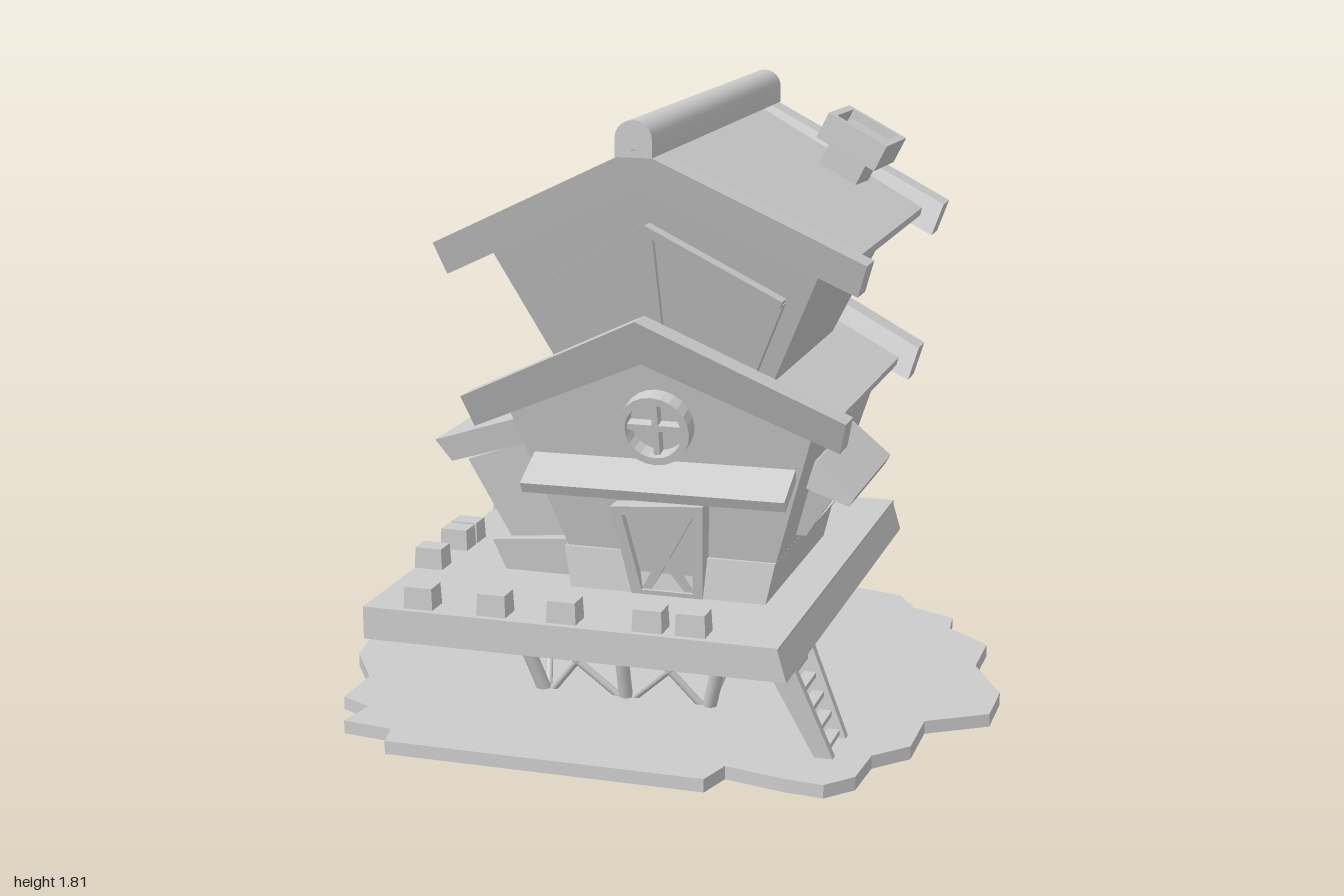
import * as THREE from 'three';
import { toCreasedNormals } from 'three/addons/utils/BufferGeometryUtils.js';

const flat = new THREE.MeshStandardMaterial({ color: 0xcccccc, flatShading: true });
const smooth = new THREE.MeshStandardMaterial({ color: 0xcccccc });
const CX = 0.088; // the house is symmetric about this x

const mirrorX = (pts) => pts.map(([x, y]) => [2 * CX - x, y]).reverse();
const line = (y0, z0, slope) => (y) => z0 + slope * (y - y0);
const shift = (f, d) => (y) => f(y) + d;

function makeShape(pts, holes = []) {
  const s = new THREE.Shape(pts.map(([x, y]) => new THREE.Vector2(x, y)));
  for (const h of holes) s.holes.push(new THREE.Path(h.map(([x, y]) => new THREE.Vector2(x, y))));
  return s;
}

export function createModel() {
  const model = new THREE.Group();

  function add(name, geo, parent = model, mat = flat) {
    const m = new THREE.Mesh(geo, mat);
    m.name = name;
    parent.add(m);
    return m;
  }
  // outline in x/y whose front and back faces lean: z is a function of y
  function slanted(name, pts, front, back, holes) {
    const g = new THREE.ExtrudeGeometry(makeShape(pts, holes), { depth: 1, bevelEnabled: false });
    const p = g.attributes.position;
    for (let i = 0; i < p.count; i++) p.setZ(i, (p.getZ(i) > 0.5 ? front : back)(p.getY(i)));
    g.computeVertexNormals();
    return add(name, g);
  }
  function box(name, w, h, d, x, y, z, parent) {
    const m = add(name, new THREE.BoxGeometry(w, h, d), parent);
    m.position.set(x, y, z);
    return m;
  }
  function rod(name, a, b, r) {
    const A = new THREE.Vector3(...a), B = new THREE.Vector3(...b);
    const m = add(name, new THREE.CylinderGeometry(r, r, A.distanceTo(B), 12), model, smooth);
    m.position.copy(A).lerp(B, 0.5);
    m.quaternion.setFromUnitVectors(new THREE.Vector3(0, 1, 0), B.sub(A).normalize());
  }
  // flat outline in x/z, extruded upwards from y
  function plate(name, pts, y, h, holes = []) {
    const flip = (a) => a.map(([x, z]) => [x, -z]);
    const g = new THREE.ExtrudeGeometry(makeShape(flip(pts), holes.map(flip)), { depth: h, bevelEnabled: false });
    add(name, g.rotateX(-Math.PI / 2)).position.y = y;
  }

  // Ground
  plate('ground', [
    [-0.8, -0.76], [-0.59, -0.72], [-0.48, -0.79], [-0.31, -0.86], [-0.13, -0.73], [0, -0.87], [0.38, -0.87],
    [0.53, -0.83], [0.6, -0.72], [0.74, -0.65], [0.75, -0.55], [0.89, -0.43], [0.89, -0.23], [1, -0.02],
    [1, 0.16], [0.83, 0.27], [0.83, 0.47], [0.74, 0.57], [0.73, 0.73], [0.66, 0.81], [0.55, 0.8],
    [0.37, 0.76], [0.34, 0.865], [-0.6, 0.865], [-0.62, 0.775], [-0.775, 0.755], [-0.755, 0.63], [-0.855, 0.58],
    [-0.855, 0.4], [-0.97, 0.22], [-1, 0.04], [-0.89, -0.155], [-0.92, -0.33], [-0.785, -0.51], [-0.825, -0.68],
  ], 0.006, 0.039);

  // Stilts splay outwards, with crossed braces along each side
  const ring = [[-1, -1], [0, -1], [1, -1], [1, 0], [1, 1], [0, 1], [-1, 1], [-1, 0]];
  const foot = ([i, j], y) => [-0.058 + 0.248 * i, y, 0.032 + 0.286 * j];
  const head = ([i, j]) => [-0.058 + 0.338 * i, 0.33, 0.032 + 0.378 * j];
  ring.forEach((c, k) => {
    const n = ring[(k + 1) % 8];
    rod('stilt', foot(c, 0.006), head(c), 0.021);
    rod('brace', foot(c, 0.02), head(n), 0.011);
    rod('brace', foot(n, 0.02), head(c), 0.011);
  });

  // Deck: floor with a raised rim, right side sloping out
  slanted('deckFloor', [[-0.695, 0.31], [0.545, 0.31], [0.52, 0.396], [-0.695, 0.396]], () => 0.775, () => -0.725);
  plate('deckRim', [[-0.695, -0.725], [0.52, -0.725], [0.52, 0.775], [-0.695, 0.775]], 0.392, 0.014,
    [[[-0.595, -0.63], [0.503, -0.63], [0.503, 0.67], [-0.595, 0.67]]]);
  const posts = [[-0.535, 0.718], [-0.315, 0.718], [-0.107, 0.718], [0.143, 0.718], [0.267, 0.718],
    [-0.652, -0.28], [-0.652, 0.08], [-0.652, 0.163], [-0.652, 0.363]];
  for (const [x, z] of posts) {
    const stub = new THREE.CylinderGeometry(0.048, 0.052, 0.07, 4, 1, false, Math.PI / 4);
    add('railStub', stub.scale(1.2, 1, 1)).position.set(x, 0.434, z);
  }

  // Ladder
  for (const s of [-1, 1]) {
    const c = line(0.045, 0.535 + s * 0.08, s * 0.09);
    slanted('ladderRail', [[0.612, 0.003], [0.66, 0.003], [0.525, 0.33], [0.44, 0.33]], shift(c, 0.014), shift(c, -0.014));
  }
  for (let i = 0; i < 5; i++) {
    const y = 0.062 + i * 0.053;
    box('ladderRung', 0.035, 0.016, 0.18 + i * 0.008, 0.615 - (y - 0.045) * 0.47, y, 0.535);
  }

  // Plinth and lower storey
  slanted('plinth', [[-0.2, 0.39], [0.385, 0.39], [0.41, 0.515], [-0.225, 0.515]],
    line(0.515, 0.387, -0.12), line(0.405, -0.31, -0.33));
  const lowFront = line(0.515, 0.375, 0.22);
  slanted('lowerWalls', [[-0.212, 0.5], [0.405, 0.5], [0.538, 0.94], [CX, 1.16], [-0.362, 0.94]],
    lowFront, line(0.515, -0.315, -0.22));

  // Upper storey
  const upFront = line(1.045, 0.39, 0.33);
  slanted('upperWalls', [[-0.205, 1.0], [0.378, 1.0], [0.573, 1.42], [CX, 1.66], [-0.397, 1.42]],
    upFront, line(1.045, -0.33, -0.31));

  // Gable roofs: thin slab between two thick leaning gable boards
  const chevron = (h, apex, eave, h2, apex2, eave2) => [[CX - h, eave], [CX - h2, eave2], [CX, apex2],
    [CX + h2, eave2], [CX + h, eave], [CX, apex]];
  function roof(name, board, slab, front, back) {
    slanted(name + 'FrontBoard', board, front, shift(front, -0.09));
    slanted(name + 'BackBoard', board, shift(back, 0.09), back);
    slanted(name + 'Slab', slab, shift(front, -0.04), shift(back, 0.04));
  }
  roof('lowerRoof', chevron(0.56, 1.26, 0.985, 0.535, 1.13, 0.89), chevron(0.5, 1.197, 0.955, 0.495, 1.165, 0.932),
    line(1.26, 0.685, 0.455), line(1.26, -0.62, -0.34));
  roof('upperRoof', chevron(0.618, 1.728, 1.43, 0.588, 1.62, 1.338), chevron(0.552, 1.705, 1.418, 0.548, 1.672, 1.395),
    line(1.72, 0.685, 0.31), line(1.72, -0.665, -0.32));

  // Rounded ridge beam
  const arc = [[CX + 0.052, 1.705]];
  for (let i = 0; i <= 12; i++) {
    const a = (i / 12) * Math.PI;
    arc.push([CX + 0.052 * Math.cos(a), 1.755 + 0.05 * Math.sin(a)]);
  }
  arc.push([CX - 0.052, 1.705]);
  const ridge = slanted('ridgeBeam', arc, () => 0.686, () => -0.665);
  ridge.geometry = toCreasedNormals(ridge.geometry, 0.6);
  ridge.material = smooth;

  // Chimney, square to the roof slope, with an open cap
  const chimney = new THREE.Group();
  chimney.name = 'chimney';
  chimney.position.set(0.471, 1.64, -0.367);
  chimney.rotation.set(0, -0.08, -0.47);
  model.add(chimney);
  box('chimneyStack', 0.13, 0.2, 0.138, 0, -0.08, 0, chimney);
  const sq = (r) => [[-r, -r], [r, -r], [r, r], [-r, r]];
  const cap = new THREE.ExtrudeGeometry(makeShape(sq(0.102), [sq(0.08)]), { depth: 0.085, bevelEnabled: false });
  add('chimneyCap', cap.rotateX(-Math.PI / 2), chimney).position.y = -0.042;
  box('chimneyCapFloor', 0.17, 0.02, 0.17, 0, -0.031, 0, chimney);

  // Row of three gable windows in one raised frame under a small hood
  const sidePane = [[-0.25, 1.29], [-0.115, 1.37], [-0.09, 1.1], [-0.165, 1.1]];
  const midPane = [[-0.08, 1.388], [CX, 1.472], [2 * CX + 0.08, 1.388], [2 * CX + 0.058, 1.1], [-0.058, 1.1]];
  slanted('gableWindowFrame', [[-0.28, 1.293], [CX, 1.5], [2 * CX + 0.28, 1.293], [2 * CX + 0.18, 1.07], [-0.18, 1.07]],
    shift(upFront, 0.032), shift(upFront, -0.02), [sidePane, midPane, mirrorX(sidePane)]);
  slanted('gableWindowHood', chevron(0.37, 1.508, 1.305, 0.362, 1.476, 1.285),
    shift(upFront, 0.05), shift(upFront, -0.02));
  slanted('gableMullion', [[CX - 0.008, 1.1], [CX + 0.008, 1.1], [CX + 0.008, 1.48], [CX - 0.008, 1.48]],
    shift(upFront, 0.02), shift(upFront, -0.02));

  // Round window with cross bars
  const porthole = new THREE.Group();
  porthole.name = 'roundWindow';
  porthole.position.set(CX, 0.925, lowFront(0.925));
  porthole.rotation.x = 0.217;
  model.add(porthole);
  const disc = new THREE.Shape().absarc(0, 0, 0.105, 0, Math.PI * 2);
  disc.holes.push(new THREE.Path().absarc(0, 0, 0.083, 0, Math.PI * 2));
  const discGeo = new THREE.ExtrudeGeometry(disc, { depth: 0.075, bevelEnabled: false, curveSegments: 12 });
  add('roundWindowFrame', discGeo, porthole).position.z = -0.02;
  box('roundWindowBar', 0.17, 0.018, 0.04, 0, 0, 0.015, porthole);
  box('roundWindowBar', 0.018, 0.17, 0.04, 0, 0, 0.015, porthole);

  // Board canopy above the door
  const canopy = box('doorCanopy', 0.775, 0.034, 0.155, 0.093, 0.768, 0.487);
  canopy.rotation.set(0.46, 0, 0.01);

  // Door with frame and crossed planks
  const doorFront = line(0.405, 0.41, 0.25);
  slanted('doorFrame', [[-0.012, 0.39], [0.2, 0.39], [0.222, 0.695], [-0.055, 0.672]], doorFront, shift(doorFront, -0.08),
    [[[0.018, 0.41], [0.172, 0.41], [0.192, 0.665], [-0.022, 0.648]]]);
  slanted('doorPanel', [[0, 0.4], [0.19, 0.4], [0.205, 0.68], [-0.04, 0.66]], shift(doorFront, -0.03), shift(doorFront, -0.08));
  for (const plank of [[[0.015, 0.41], [0.045, 0.41], [0.19, 0.66], [0.16, 0.66]],
    [[0.145, 0.41], [0.175, 0.41], [0.01, 0.65], [-0.02, 0.65]]]) {
    slanted('doorPlank', plank, shift(doorFront, -0.012), shift(doorFront, -0.05));
  }

  // Right bay window: its face leans with the wall
  const bayX = line(0.545, 0.445, 0.66);
  function bay(name, pts, outer, inner, holes) {
    const m = slanted(name, pts, shift(bayX, outer), shift(bayX, inner), holes);
    m.rotation.y = Math.PI / 2; // local x becomes -z, local z becomes x
  }
  bay('bayWindowFrame', [[-0.18, 0.543], [0.143, 0.543], [0.172, 0.73], [-0.222, 0.73]], 0.005, -0.14,
    [[[-0.145, 0.573], [0.105, 0.573], [0.13, 0.7], [-0.17, 0.7]]]);
  bay('bayWindowPane', [[-0.16, 0.56], [0.12, 0.56], [0.15, 0.72], [-0.19, 0.72]], -0.025, -0.12);
  slanted('bayAwning', [[0.44, 0.725], [0.597, 0.67], [0.614, 0.7], [0.5, 0.795], [0.46, 0.815]],
    () => 0.275, () => -0.21);

  // Left lean-to with its own plinth and pent roof
  slanted('leanToPlinth', [[-0.44, 0.39], [-0.19, 0.39], [-0.19, 0.515], [-0.48, 0.487]],
    line(0.405, 0.3, 0.1), line(0.405, -0.23, -0.1));
  slanted('leanToWalls', [[-0.43, 0.48], [-0.19, 0.48], [-0.3, 0.82], [-0.56, 0.725]],
    line(0.5, 0.27, 0.1), line(0.5, -0.2, -0.12));
  slanted('leanToRoof', [[-0.612, 0.715], [-0.3, 0.815], [-0.3, 0.9], [-0.66, 0.78]],
    line(0.78, 0.305, 0.18), line(0.78, -0.268, -0.18));

  return model;
}
